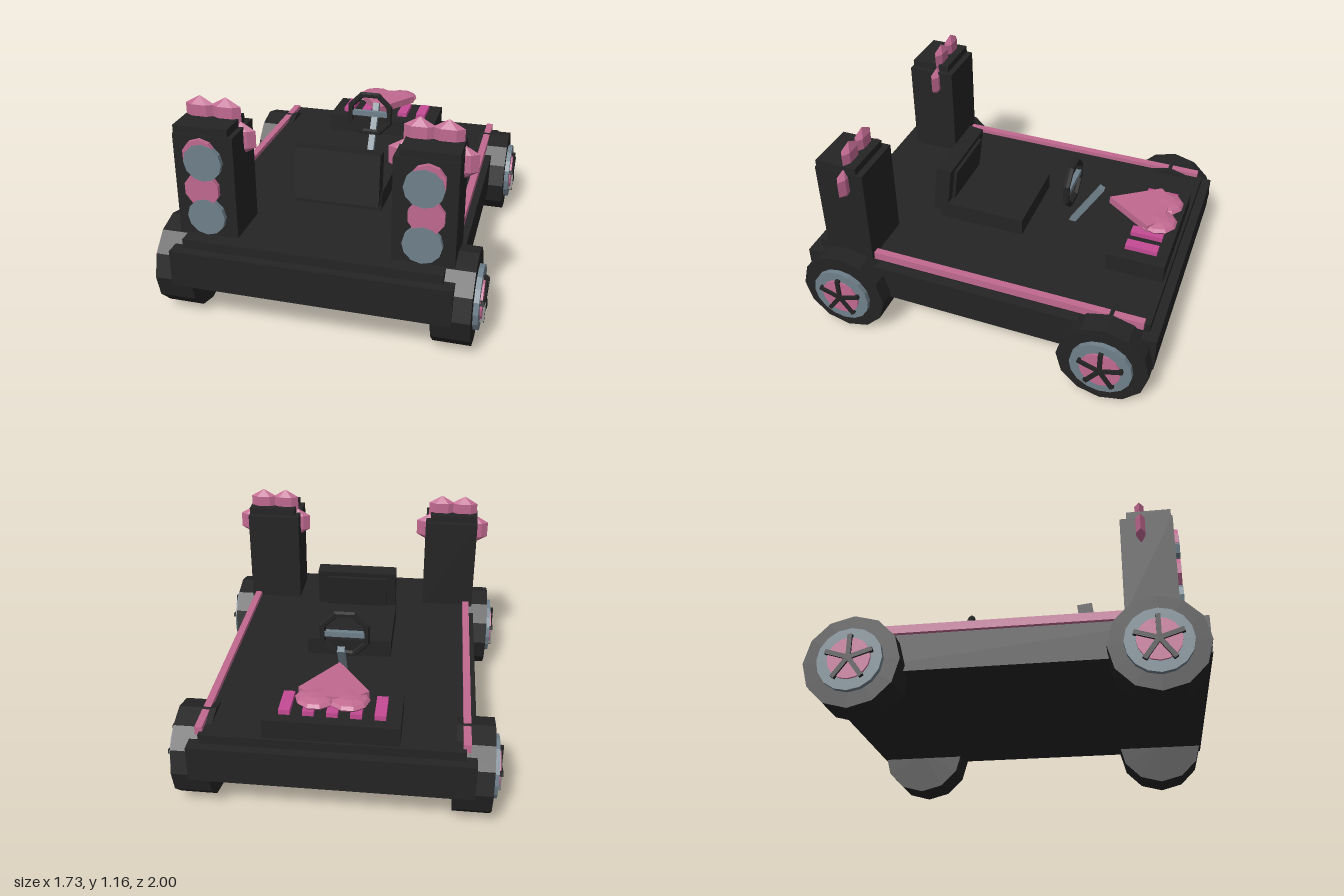
import * as THREE from 'three';

const mat = (name, color, flat) => {
  const m = new THREE.MeshStandardMaterial({ color });
  m.name = name;
  m.flatShading = flat;
  return m;
};

export function createModel() {
  const black = mat('charcoal black', 0x242424, true);
  const pink = mat('dusty pink', 0xc06990, true);
  const grey = mat('slate grey', 0x6f808b, true);
  const magenta = mat('magenta', 0xc44a94, true);

  const root = new THREE.Group();
  root.name = 'cart';

  const add = (name, geo, material, x = 0, y = 0, z = 0, parent = root) => {
    const m = new THREE.Mesh(geo, material);
    m.name = name;
    m.position.set(x, y, z);
    parent.add(m);
    return m;
  };
  // Box given by its minimum and maximum corners
  const box = (name, material, x0, x1, y0, y1, z0, z1) =>
    add(name, new THREE.BoxGeometry(x1 - x0, y1 - y0, z1 - z0), material,
      (x0 + x1) / 2, (y0 + y1) / 2, (z0 + z1) / 2);
  // Box mirrored onto both sides
  const boxPair = (name, material, x0, x1, ...rest) => {
    box(name, material, x0, x1, ...rest);
    box(name, material, -x1, -x0, ...rest);
  };

  // Chassis and deck
  box('chassis', black, -0.725, 0.725, 0.22, 0.42, -1, 1);
  box('deck', black, -0.67, 0.67, 0.42, 0.47, -0.95, 0.95);
  boxPair('sideRail', pink, 0.653, 0.692, 0.45, 0.495, -0.92, 0.62);

  // Wheels: the axle runs along x, outer face at +x before turning
  const axial = (r, x0, x1, sides) =>
    new THREE.CylinderGeometry(r, r, x1 - x0, sides).rotateZ(-Math.PI / 2).translate((x0 + x1) / 2, 0, 0);
  for (const side of [1, -1]) for (const z of [0.75, -0.75]) {
    const wheel = new THREE.Group();
    wheel.name = 'wheel';
    wheel.position.set(0, 0.25, z);
    wheel.rotation.y = side > 0 ? 0 : Math.PI;
    root.add(wheel);
    add('tyre', axial(0.248, 0.62, 0.815, 12), black, 0, 0, 0, wheel);
    add('rim', axial(0.167, 0.81, 0.842, 16), grey, 0, 0, 0, wheel);
    add('hubDisc', axial(0.11, 0.84, 0.853, 16), pink, 0, 0, 0, wheel);
    for (let i = 0; i < 5; i++) {
      const spoke = new THREE.BoxGeometry(0.02, 0.125, 0.024).translate(0.854, 0.0625, 0);
      add('spoke', spoke.rotateX(i * Math.PI * 2 / 5), black, 0, 0, 0, wheel);
    }
  }

  // Speaker towers with discs and faceted ornaments
  boxPair('speakerTower', black, 0.397, 0.712, 0.46, 1.02, 0.595, 0.868);
  boxPair('towerCap', black, 0.425, 0.71, 1.02, 1.06, 0.63, 0.86);
  const disc = (r, z1, sides) =>
    new THREE.CylinderGeometry(r, r, z1 - 0.86, sides).rotateX(Math.PI / 2).translate(0, 0, (z1 + 0.86) / 2);
  const gem = new THREE.SphereGeometry(0.09, 6, 3).scale(1, 1, 0.36);
  for (const s of [1, -1]) {
    for (const y of [0.885, 0.585]) add('speakerCone', disc(0.1, 0.895, 12), grey, s * 0.552, y, 0);
    add('speakerCone', disc(0.093, 0.893, 10), pink, s * 0.567, 0.735, 0);
    add('speakerTrim', disc(0.09, 0.892, 10), pink, s * 0.567, 0.918, 0);
    for (const [x, y] of [[0.628, 1.075], [0.49, 1.075], [0.702, 0.955], [0.418, 0.955]])
      add('ornament', gem, pink, s * x, y, 0.7);
  }

  // Seat
  box('seatBase', black, -0.24, 0.24, 0.47, 0.57, -0.1, 0.4);
  const back = add('seatBack', new THREE.BoxGeometry(0.47, 0.29, 0.085), black, 0, 0.652, 0.386);
  back.rotation.x = -0.12;
  add('seatBackPad', new THREE.BoxGeometry(0.36, 0.23, 0.02), black, 0, 0, -0.05, back);

  // Steering wheel, crossbar and column
  add('steeringWheel', new THREE.TorusGeometry(0.129, 0.019, 6, 8).rotateZ(Math.PI / 8), black, 0, 0.733, -0.317);
  box('steeringCrossbar', grey, -0.12, 0.12, 0.72, 0.75, -0.332, -0.304);
  const column = add('steeringColumn', new THREE.BoxGeometry(0.038, 0.32, 0.034), grey, 0, 0.6, -0.405);
  column.rotation.x = -Math.atan2(0.16, 0.27);

  // Console with a row of keys
  box('console', black, -0.345, 0.345, 0.46, 0.575, -0.935, -0.62);
  for (let i = -2; i <= 2; i++)
    box('key', magenta, i * 0.12 - 0.029, i * 0.12 + 0.029, 0.57, 0.602, -0.875, -0.7);

  // Heart lying flat above the console: two lobes and a wedge
  const lobe = new THREE.SphereGeometry(0.105, 10, 6).scale(1, 0.3, 1);
  for (const s of [1, -1]) add('heartLobe', lobe, pink, s * 0.083, 0.661, -0.83);
  const wedge = new THREE.Shape([[-0.178, 0.79], [0, 0.535], [0.178, 0.79], [0.1, 0.86], [-0.1, 0.86]]
    .map(([x, y]) => new THREE.Vector2(x, y)));
  add('heartPoint', new THREE.ExtrudeGeometry(wedge, { depth: 0.043, bevelEnabled: false }).rotateX(-Math.PI / 2),
    pink, 0, 0.646, 0);

  return root;
}
